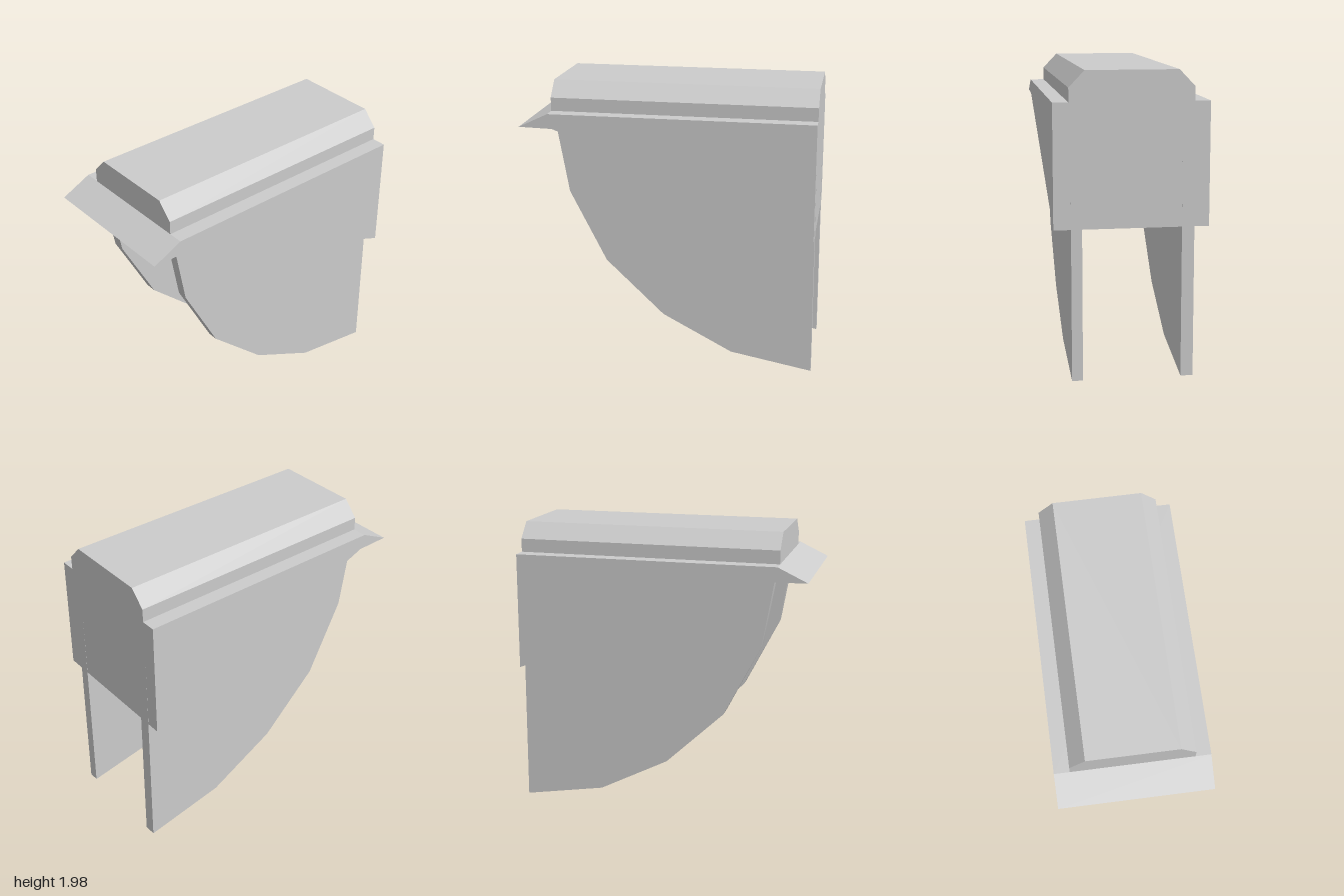
import * as THREE from 'three';
import { toCreasedNormals } from 'three/addons/utils/BufferGeometryUtils.js';

const material = new THREE.MeshStandardMaterial({ color: 0xcccccc, side: THREE.DoubleSide });

function add(group, name, geometry) {
  const mesh = new THREE.Mesh(geometry, material);
  mesh.name = name;
  group.add(mesh);
  return mesh;
}

const shapeOf = (points) => new THREE.Shape(points.map(([a, b]) => new THREE.Vector2(a, b)));

// Folded sheet spanning -halfWidth..halfWidth in x along a [z, y] profile
function foldedSheet(profile, halfWidth) {
  const positions = [];
  for (let i = 0; i < profile.length - 1; i++) {
    const [az, ay] = profile[i], [bz, by] = profile[i + 1], w = halfWidth;
    positions.push(-w, ay, az, w, ay, az, w, by, bz, -w, ay, az, w, by, bz, -w, by, bz);
  }
  const geometry = new THREE.BufferGeometry();
  geometry.setAttribute('position', new THREE.Float32BufferAttribute(positions, 3));
  geometry.computeVertexNormals();
  return geometry;
}

export function createModel() {
  const model = new THREE.Group();
  model.name = 'hoodedBracket';
  const halfWidth = 0.495;

  // Hollow hood: front lip, deck and back panel, open below beside the inner sheet
  const hood = [[0.77, 1.68], [1, 1.685], [0.8, 1.78], [-0.985, 1.78], [-0.99, 0.985]];
  add(model, 'hoodShell', foldedSheet(hood, halfWidth));
  add(model, 'slopedUnderside', foldedSheet([[-0.99, 0.985], [0.77, 1.68]], 0.297));

  // Side panels, drawn in (-z, y) and turned to face +x
  for (const side of [-1, 1]) {
    const geometry = new THREE.ShapeGeometry(shapeOf(hood.map(([z, y]) => [-z, y])));
    geometry.rotateY(Math.PI / 2);
    if (side < 0) {
      // Mirror the panel and flip its winding
      geometry.scale(-1, 1, 1);
      geometry.index.array.reverse();
      geometry.computeVertexNormals();
    }
    geometry.translate(side * halfWidth, 0, 0);
    add(model, side > 0 ? 'leftSidePanel' : 'rightSidePanel', geometry);
  }

  // Chamfered cap along the top
  const cap = new THREE.ExtrudeGeometry(
    shapeOf([[-0.395, 1.78], [0.395, 1.78], [0.395, 1.87], [0.295, 1.975], [-0.295, 1.975], [-0.395, 1.87]]),
    { depth: 1.785, bevelEnabled: false });
  cap.translate(0, 0, -0.985);
  add(model, 'cap', cap);

  // Two hanging plates with a curved front edge
  const plate = [[-1, 0], [-0.44, 0.1], [0.04, 0.35], [0.44, 0.73], [0.69, 1.22], [0.77, 1.68], [-0.985, 1.7]];
  for (const [name, inner, outer] of [['leftPlate', 0.315, 0.385], ['rightPlate', -0.4, -0.32]]) {
    const geometry = new THREE.ExtrudeGeometry(shapeOf(plate.map(([z, y]) => [-z, y])),
      { depth: outer - inner, bevelEnabled: false });
    geometry.rotateY(Math.PI / 2);
    geometry.translate(inner, 0, 0);
    add(model, name, toCreasedNormals(geometry, 0.6));
  }
  return model;
}
